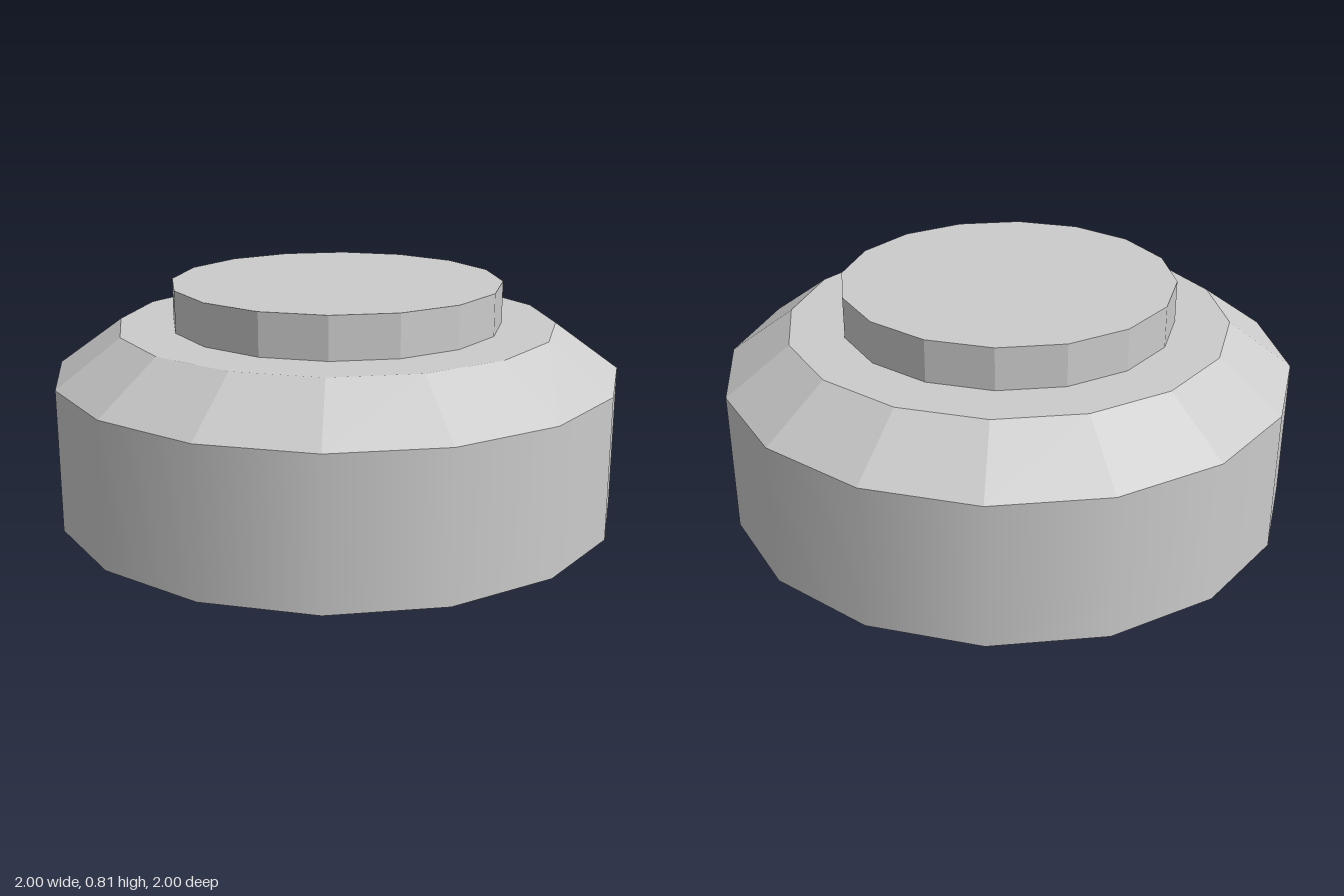
import * as THREE from 'three';

const SIDES = 16;

// One stacked round tier, from height y0 to y1
function tier(name, bottomRadius, topRadius, y0, y1, flatShading) {
  const geometry = new THREE.CylinderGeometry(topRadius, bottomRadius, y1 - y0, SIDES);
  const material = new THREE.MeshStandardMaterial({ color: 0xcccccc, flatShading });
  const mesh = new THREE.Mesh(geometry, material);
  mesh.name = name;
  mesh.position.y = (y0 + y1) / 2;
  return mesh;
}

export function createModel() {
  const model = new THREE.Group();
  model.name = 'roundButton';
  model.add(
    tier('base', 1, 1, 0, 0.502, false), // smooth-sided drum
    tier('bevel', 1, 0.775, 0.502, 0.665, true), // faceted sloping shoulder
    tier('cap', 0.585, 0.585, 0.665, 0.812, true) // raised flat top
  );
  return model;
}
